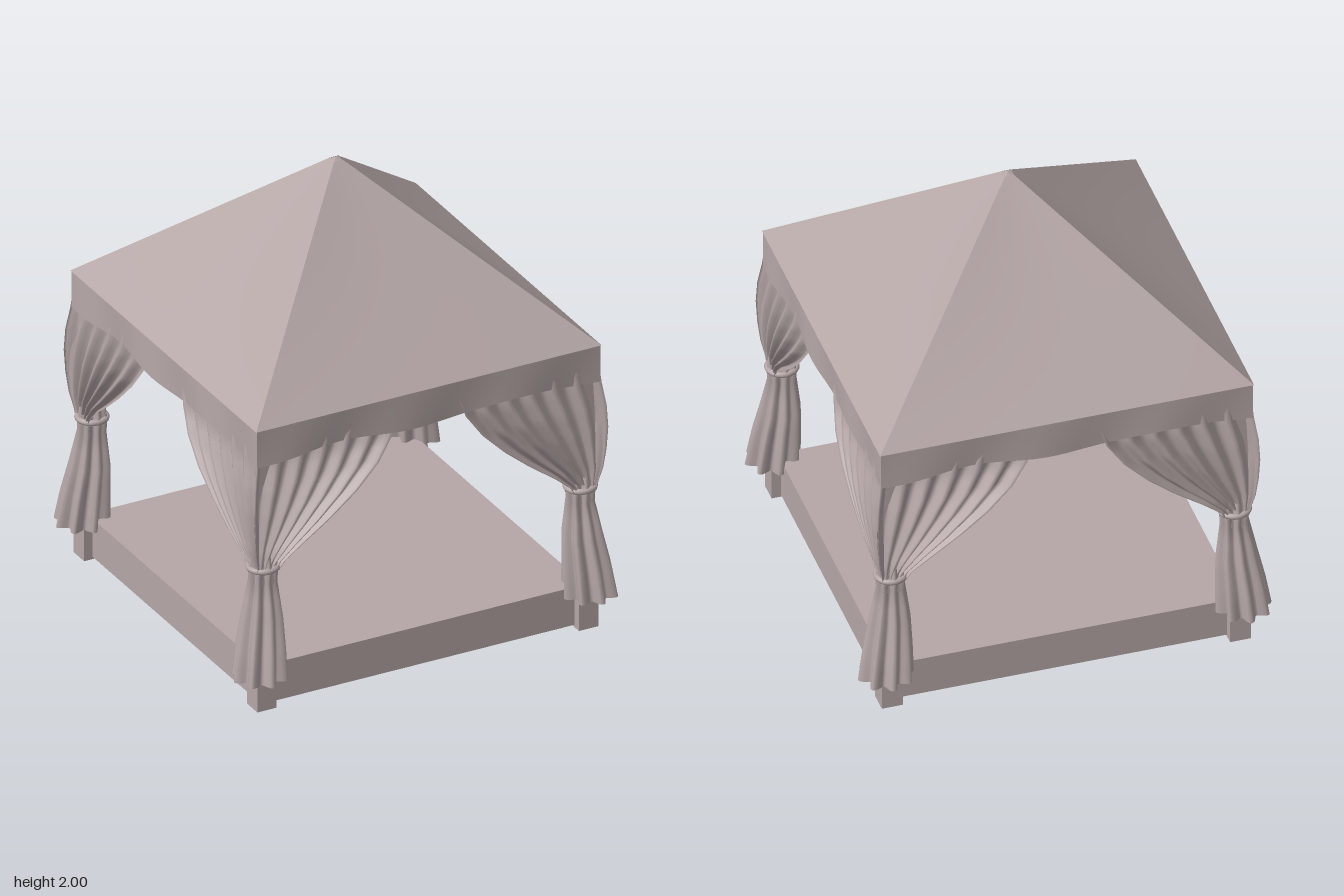
import * as THREE from 'three';
import { ParametricGeometry } from 'three/addons/geometries/ParametricGeometry.js';

// Linear interpolation through rows of [y, a, b, ...], ordered by falling y
function sample(rows, v) {
  const f = v * (rows.length - 1);
  const i = Math.min(Math.floor(f), rows.length - 2);
  return rows[i].map((a, k) => a + (rows[i + 1][k] - a) * (f - i));
}

// y, inner edge, outer face, pleat depth of a tied-back curtain
const CURTAIN = [
  [1.28, 0.12, 0.785, 0.02], [1.13, 0.17, 0.8, 0.035], [1.03, 0.24, 0.815, 0.04],
  [0.93, 0.34, 0.82, 0.04], [0.83, 0.46, 0.815, 0.035], [0.74, 0.58, 0.805, 0.025],
  [0.67, 0.66, 0.79, 0.015], [0.63, 0.685, 0.785, 0.01],
];

// y, centre, radius, pleat depth of the gathered tail below the tie
const TAIL = [
  [0.7, 0.735, 0.05, 0.008], [0.64, 0.735, 0.058, 0.008], [0.58, 0.735, 0.054, 0.008],
  [0.42, 0.742, 0.078, 0.012], [0.28, 0.755, 0.092, 0.016], [0.15, 0.765, 0.1, 0.02],
];

export function createModel() {
  const group = new THREE.Group();
  const cloth = new THREE.MeshStandardMaterial({ color: 0xb5a6a6, side: THREE.DoubleSide });
  cloth.name = 'dusty mauve cloth';

  const add = (parent, name, geometry, x = 0, y = 0, z = 0) => {
    const mesh = new THREE.Mesh(geometry, cloth);
    mesh.name = name;
    mesh.position.set(x, y, z);
    parent.add(mesh);
    return mesh;
  };

  // Solid floor platform
  add(group, 'floorPlatform', new THREE.BoxGeometry(1.5, 0.175, 1.5), 0, 0.0975, 0);

  // Hollow pyramid roof: four triangular panels with a small blunt tip
  const roofPanel = new ParametricGeometry((u, v, p) => {
    const half = 0.8 + (0.02 - 0.8) * v;
    const sag = 0.012 * Math.sin(Math.PI * v) * Math.sin(Math.PI * u);
    p.set((u * 2 - 1) * half, 1.3 + 0.69 * v - sag, half);
  }, 10, 10);

  // Hanging valance with a gently wavy face
  const valance = new ParametricGeometry((u, v, p) => {
    const x = (u * 2 - 1) * 0.795;
    const wave = 0.008 * Math.sin(u * 19) * v;
    const drop = 0.155 + 0.012 * Math.cos(u * Math.PI * 4);
    p.set(x, 1.3 - drop * v, 0.797 + wave);
  }, 32, 4);

  // Curtain wraps a corner: one arm along x, the other along z
  const curtain = new ParametricGeometry((u, v, p) => {
    const [y, inner, outer, depth] = sample(CURTAIN, v);
    const t = Math.abs(u * 2 - 1);
    const along = outer + (inner - outer) * t;
    const pleat = depth * (0.5 - 0.5 * Math.cos(t * Math.PI * 12));
    const across = outer - pleat;
    if (u < 0.5) p.set(along, y, across);
    else p.set(across, y, along);
  }, 96, 14);

  // Closed pleated tail
  const tail = new ParametricGeometry((u, v, p) => {
    const [y, centre, radius, depth] = sample(TAIL, v);
    const a = u * Math.PI * 2;
    const r = radius + depth * Math.cos(a * 8);
    p.set(centre + r * Math.cos(a), y, centre + r * Math.sin(a));
  }, 64, 10);

  const tie = new THREE.TorusGeometry(0.06, 0.013, 8, 24).rotateX(Math.PI / 2);
  const post = new THREE.BoxGeometry(0.075, 1.29, 0.075);
  const rail = new THREE.BoxGeometry(1.5, 0.04, 0.04);

  // Each quarter holds one side and one corner
  for (let i = 0; i < 4; i++) {
    const quarter = new THREE.Group();
    quarter.name = ['front', 'left', 'back', 'right'][i] + 'Quarter';
    quarter.rotation.y = i * Math.PI / 2;
    add(quarter, 'roofPanel', roofPanel);
    add(quarter, 'valance', valance);
    add(quarter, 'topRail', rail, 0, 1.26, 0.75);
    add(quarter, 'cornerPost', post, 0.742, 0.65, 0.742);
    add(quarter, 'curtain', curtain);
    add(quarter, 'curtainTail', tail);
    add(quarter, 'curtainTie', tie, 0.735, 0.64, 0.735);
    add(quarter, 'postFoot', new THREE.BoxGeometry(0.09, 0.18, 0.09), 0.745, 0.09, 0.745);
    group.add(quarter);
  }

  // Blunt peak
  const cap = new THREE.ConeGeometry(0.03, 0.012, 4);
  add(group, 'roofPeak', cap, 0, 1.994, 0).rotation.y = Math.PI / 4;

  return group;
}
